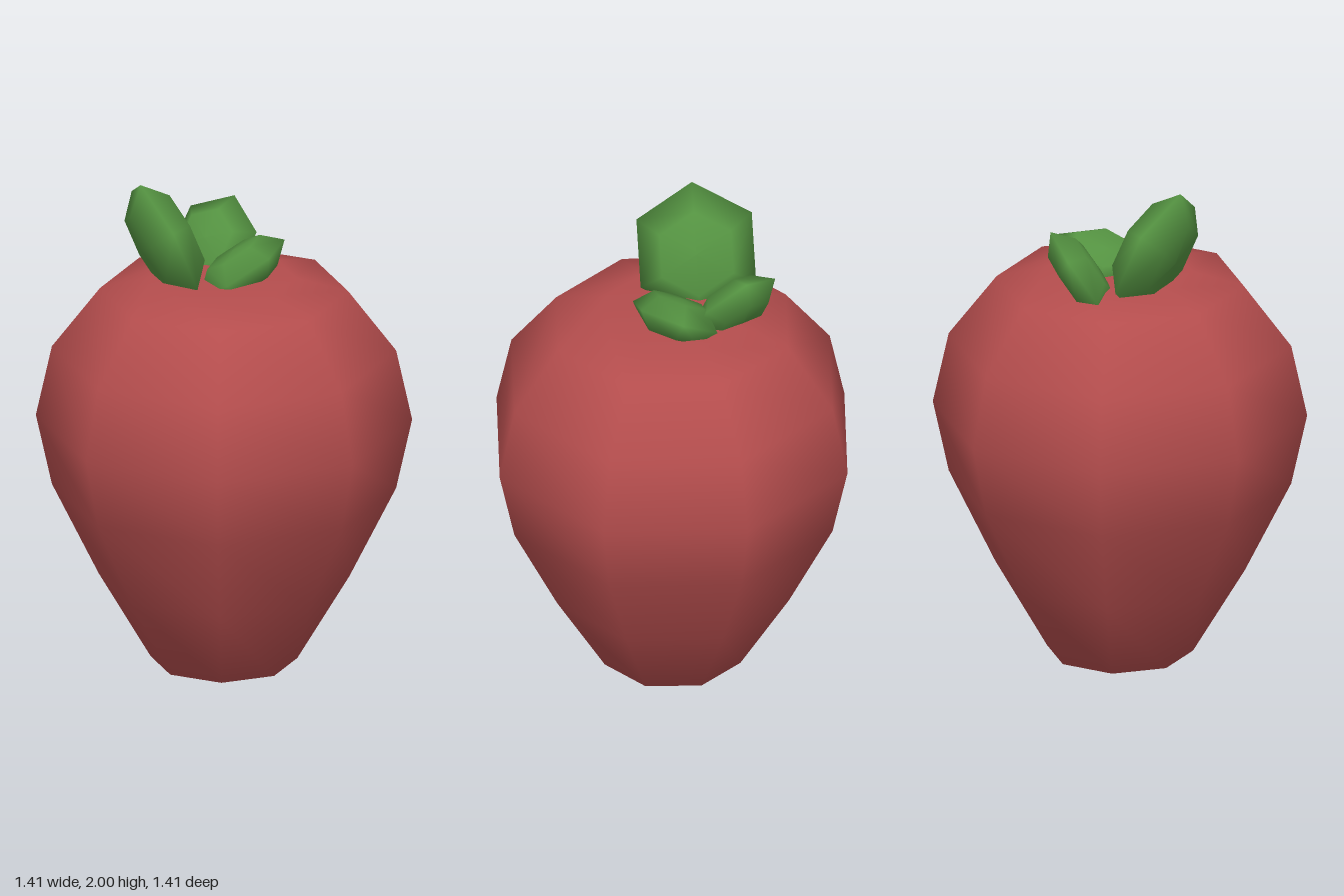
import * as THREE from 'three';

const points = (list) => list.map(([x, y]) => new THREE.Vector2(x, y));

export function createModel() {
  const red = new THREE.MeshStandardMaterial({ color: 0xb44d4d });
  red.name = 'berry red';
  const green = new THREE.MeshStandardMaterial({ color: 0x549241 });
  green.name = 'leaf green';

  const group = new THREE.Group();
  group.name = 'strawberry';

  // Eight-sided berry with a blunt tip and a flat top
  const profile = points([
    [0, 0], [0.275, 0.1], [0.47, 0.43], [0.645, 0.785], [0.705, 1.06],
    [0.645, 1.335], [0.465, 1.57], [0.27, 1.62], [0, 1.62],
  ]);
  const berry = new THREE.Mesh(new THREE.LatheGeometry(profile, 8), red);
  berry.name = 'berry';
  group.add(berry);

  // Leaf: thick six-sided pad; u points to its tip, w across it
  const pad = points([[0, -1], [0.62, -0.9], [1, 0], [0.62, 0.9], [0, 1]]);
  function addLeaf(name, centre, u, w, length, width, thickness) {
    const tip = new THREE.Vector3(...u).normalize();
    const normal = tip.clone().cross(new THREE.Vector3(...w)).normalize();
    const side = normal.clone().cross(tip);
    const geometry = new THREE.LatheGeometry(pad, 6);
    geometry.scale(width, thickness, length);
    geometry.applyMatrix4(new THREE.Matrix4().makeBasis(side, normal, tip));
    const leaf = new THREE.Mesh(geometry, green);
    leaf.name = name;
    leaf.position.set(...centre);
    group.add(leaf);
  }

  addLeaf('tallLeaf', [-0.15, 1.76, -0.165], [-0.38, 0.92, -0.1], [0.39, 0, -0.92], 0.26, 0.25, 0.095);
  addLeaf('smallLeaf', [0.13, 1.67, -0.2], [0.56, 0.82, 0], [-0.25, 0, -0.97], 0.195, 0.18, 0.07);
  addLeaf('flatLeaf', [0.075, 1.645, 0.02], [0.005, 0.07, 0.14], [0.2, 0.035, -0.06], 0.157, 0.21, 0.075);

  return group;
}
